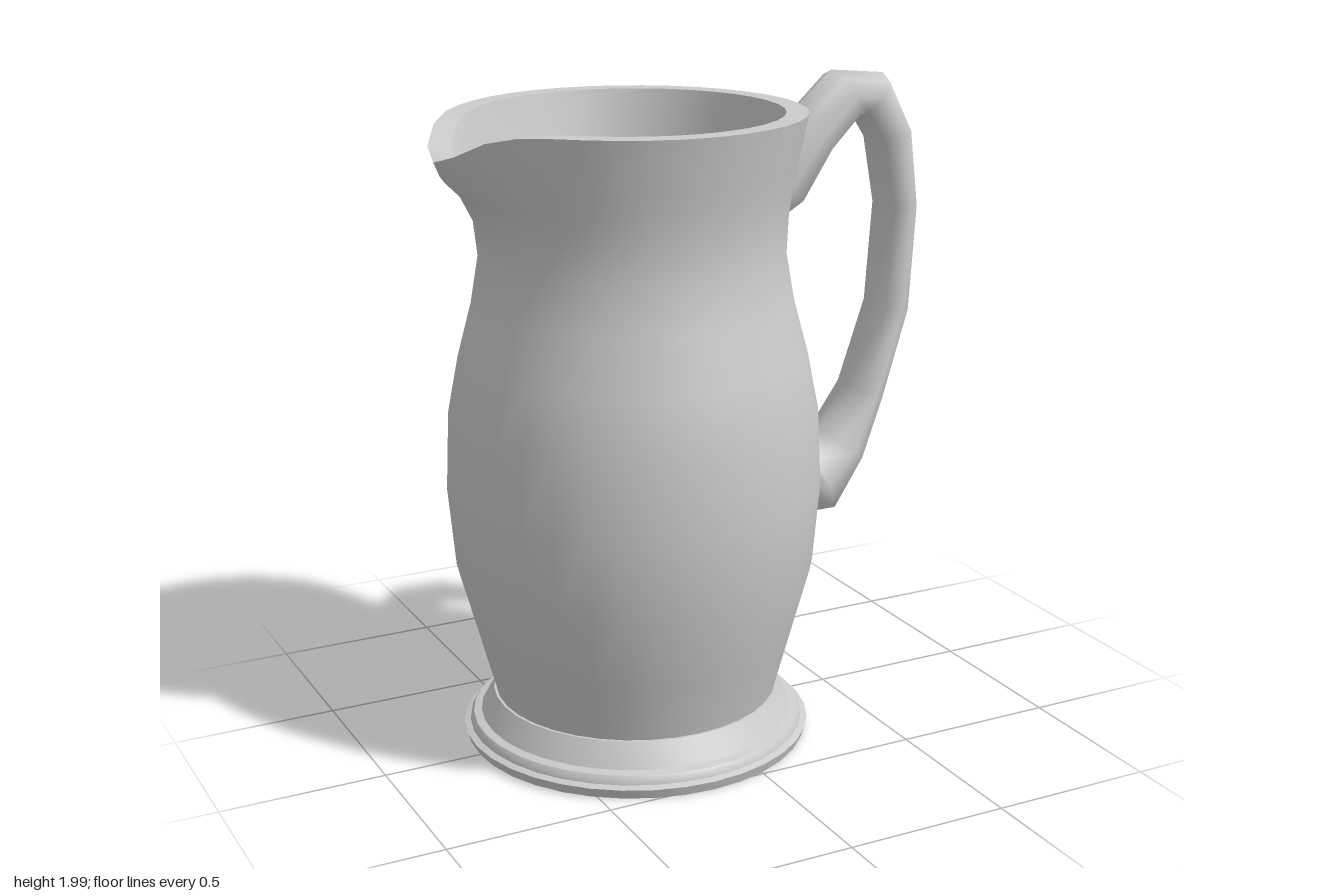
import * as THREE from 'three';
import { toCreasedNormals } from 'three/addons/utils/BufferGeometryUtils.js';

const SIDES = 36;
const AXIS = -0.178; // the jug's own axis

// Skin a list of closed rings of equal length
function loft(rings) {
  const n = rings[0].length, index = [];
  for (let j = 0; j < rings.length - 1; j++)
    for (let i = 0; i < n; i++) {
      const a = j * n + i, b = j * n + (i + 1) % n;
      index.push(a, b, b + n, a, b + n, a + n);
    }
  const g = new THREE.BufferGeometry();
  g.setAttribute('position', new THREE.Float32BufferAttribute(rings.flat(2), 3));
  g.setIndex(index);
  g.computeVertexNormals();
  return g;
}

// One ring of the jug: circle pushed out towards -x into a spout, whose lip dips
function jugRing([y, r, push = 0, dip = 0, cx = AXIS]) {
  return Array.from({ length: SIDES }, (_, i) => {
    const a = i / SIDES * Math.PI * 2;
    const d = THREE.MathUtils.radToDeg(Math.min(a, Math.PI * 2 - a));
    const rho = r + push * Math.exp(-((d / 26) ** 2));
    return [cx - rho * Math.cos(a), y - dip * Math.exp(-((d / 17) ** 2)), rho * Math.sin(a)];
  });
}

export function createModel() {
  const jug = new THREE.Group();
  jug.name = 'jug';
  const material = new THREE.MeshStandardMaterial({ color: 0xcccccc });
  const add = (name, geometry) => {
    const mesh = new THREE.Mesh(geometry, material);
    mesh.name = name;
    jug.add(mesh);
    return mesh;
  };

  // Rows are height, radius, spout push, lip dip, centre x
  const outerRim = [1.91, 0.51, 0.095, 0.1];
  const innerRim = [1.91, 0.445, 0.095, 0.1];
  const floorEdge = [0.16, 0.325, 0.07, 0, -0.13];
  add('outerWall', loft([
    [0.14, 0.43], [0.32, 0.478], [0.55, 0.54], [0.79, 0.561], [1.03, 0.55],
    [1.2, 0.517], [1.36, 0.474], [1.5, 0.45], [1.61, 0.455, 0.012],
    [1.69, 0.466, 0.045], [1.75, 0.478, 0.095], outerRim,
  ].map(jugRing)));
  add('rim', loft([outerRim, innerRim].map(jugRing)));
  add('innerWall', loft([
    innerRim, [1.73, 0.415, 0.07, 0, -0.17], [1.5, 0.375, 0.09, 0, -0.135],
    [1.2, 0.37, 0.085, 0, -0.13], [0.6, 0.35, 0.075, 0, -0.13], floorEdge,
  ].map(jugRing)));
  add('innerFloor', loft([floorEdge, [0.16, 0, 0, 0, -0.13]].map(jugRing)));

  // Stepped foot
  const footProfile = [
    [0, 0], [0.522, 0], [0.532, 0.03], [0.513, 0.037], [0.51, 0.05], [0.502, 0.062],
    [0.478, 0.068], [0.438, 0.14], [0.4, 0.14],
  ].map(([r, y]) => new THREE.Vector2(r, y));
  const foot = add('foot', toCreasedNormals(new THREE.LatheGeometry(footProfile, SIDES), 0.45));
  foot.position.x = AXIS;

  // Handle stations: x, y, half thickness in the plane, half width across
  const stations = [
    [0.18, 1.54, 0, 0], [0.19, 1.55, 0.06, 0.07], [0.3, 1.66, 0.1, 0.108],
    [0.41, 1.8, 0.085, 0.097], [0.525, 1.91, 0.086, 0.092], [0.618, 1.905, 0.08, 0.092],
    [0.69, 1.78, 0.066, 0.092], [0.724, 1.56, 0.056, 0.092], [0.702, 1.24, 0.056, 0.095],
    [0.615, 0.975, 0.058, 0.102], [0.53, 0.81, 0.083, 0.118], [0.43, 0.72, 0.135, 0.14],
    [0.34, 0.72, 0.125, 0.13], [0.33, 0.72, 0, 0],
  ];
  const last = stations.length - 1;
  add('handle', loft(stations.map(([x, y, thick, wide], j) => {
    const p = stations[Math.max(j - 1, 0)], q = stations[Math.min(j + 1, last)];
    const t = new THREE.Vector2(q[0] - p[0], q[1] - p[1]).normalize();
    return Array.from({ length: 8 }, (_, i) => {
      const a = i / 8 * Math.PI * 2, s = thick * Math.cos(a);
      return [x - t.y * s, y + t.x * s, wide * Math.sin(a)];
    });
  })));

  return jug;
}
